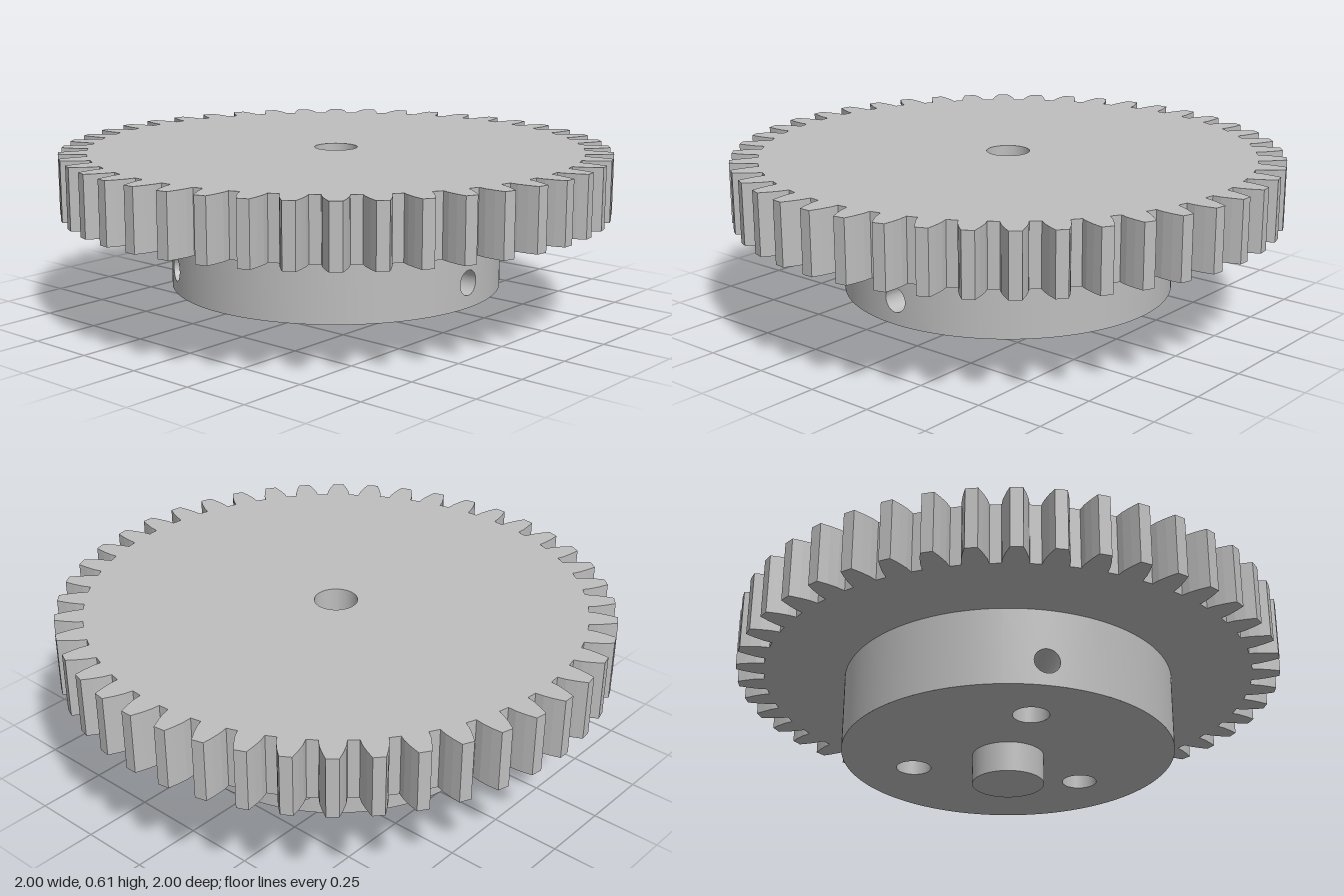
import * as THREE from 'three';

const TEETH = 44;
const GEAR_BOTTOM = 0.39, GEAR_TOP = 0.61, HUB_BOTTOM = 0.11;
const HUB_R = 0.605, BORE_R = 0.078, BOSS_R = 0.13;
const PIN_R = 0.064, PIN_OFFSET = 0.367; // vertical holes under the hub
const PORT_R = 0.045, PORT_Y = 0.2; // radial holes in the hub wall
const lerp = THREE.MathUtils.lerp;

// Smooth surface from a rule f(u, v) -> [x, y, z]; flip turns it inside out
function surface(nu, nv, f, flip = false) {
  const pos = [], idx = [], row = nv + 1;
  for (let i = 0; i <= nu; i++)
    for (let j = 0; j <= nv; j++) pos.push(...f(flip ? 1 - i / nu : i / nu, j / nv));
  for (let i = 0; i < nu; i++)
    for (let j = 0; j < nv; j++) {
      const a = i * row + j, b = a + row;
      idx.push(a, b, a + 1, b, b + 1, a + 1);
    }
  const g = new THREE.BufferGeometry();
  g.setAttribute('position', new THREE.Float32BufferAttribute(pos, 3));
  g.setIndex(idx);
  g.computeVertexNormals();
  return g;
}

// Toothed disc outline with the central bore
function gearShape() {
  const flank = [[-0.045, 0.9], [-0.042, 0.93], [-0.033, 0.965], [-0.021, 1]];
  const profile = [...flank, ...flank.map(([t, r]) => [-t, r]).reverse()];
  const pts = [];
  for (let i = 0; i < TEETH; i++)
    for (const [t, r] of profile) {
      const a = (i / TEETH) * Math.PI * 2 + t / r;
      pts.push(new THREE.Vector2(r * Math.cos(a), r * Math.sin(a)));
    }
  const shape = new THREE.Shape(pts);
  shape.holes.push(new THREE.Path().absarc(0, 0, BORE_R, 0, Math.PI * 2, true));
  return shape;
}

// Upright round wall around (cx, 0), pierced by the radial hole at angle 0
function piercedWall(R, cx, w, end, flip) {
  const at = (a, y) => [cx + R * Math.cos(a), y, R * Math.sin(a)];
  const patch = surface(48, 6, (u, v) => {
    const c = Math.cos(u * Math.PI * 2), s = Math.sin(u * Math.PI * 2);
    const m = Math.max(Math.abs(c), Math.abs(s));
    const reach = s > 0 ? GEAR_BOTTOM - PORT_Y : PORT_Y - HUB_BOTTOM;
    return at(
      lerp(Math.asin((PORT_R * c) / R), (c / m) * w, v),
      lerp(PORT_Y + PORT_R * s, PORT_Y + (s / m) * reach, v));
  }, flip);
  const rest = surface(48, 1, (u, v) => at(lerp(w, end, u), lerp(GEAR_BOTTOM, HUB_BOTTOM, v)), flip);
  return [patch, rest];
}

export function createModel() {
  const model = new THREE.Group();
  model.name = 'gearWheel';
  const metal = new THREE.MeshStandardMaterial({ color: 0xbebebe });
  metal.name = 'lightGrey';

  const add = (parent, name, geometry) => {
    const mesh = new THREE.Mesh(geometry, metal);
    mesh.name = name;
    parent.add(mesh);
    return mesh;
  };

  // Toothed disc
  const disc = new THREE.ExtrudeGeometry(gearShape(), {
    depth: GEAR_TOP - GEAR_BOTTOM, bevelEnabled: false, curveSegments: 32,
  });
  add(model, 'toothedDisc', disc.rotateX(-Math.PI / 2)).position.y = GEAR_BOTTOM;

  // Floor of the blind bore
  const floor = new THREE.CircleGeometry(BORE_R, 48).rotateX(-Math.PI / 2);
  add(model, 'boreFloor', floor).position.y = GEAR_BOTTOM + 0.001;

  // Underside of the hub with three vertical holes
  const under = new THREE.Shape().absarc(0, 0, HUB_R, 0, Math.PI * 2, false);
  for (let i = 0; i < 3; i++) {
    const a = (i * Math.PI * 2) / 3;
    under.holes.push(new THREE.Path().absarc(
      PIN_OFFSET * Math.cos(a), PIN_OFFSET * Math.sin(a), PIN_R, 0, Math.PI * 2, true));
  }
  const underside = new THREE.ShapeGeometry(under, 72).rotateX(Math.PI / 2);
  add(model, 'hubUnderside', underside).position.y = HUB_BOTTOM;

  // Three equal hub sectors: outer wall, radial hole and the vertical hole it meets
  const outer = piercedWall(HUB_R, 0, 0.25, (Math.PI * 2) / 3 - 0.25, false);
  const pin = piercedWall(PIN_R, PIN_OFFSET, 1.1, Math.PI * 2 - 1.1, true);
  const tunnel = surface(48, 1, (u, v) => {
    const t = PORT_R * Math.cos(u * Math.PI * 2);
    const x = lerp(Math.sqrt(HUB_R ** 2 - t * t), PIN_OFFSET + Math.sqrt(PIN_R ** 2 - t * t), v);
    return [x, PORT_Y + PORT_R * Math.sin(u * Math.PI * 2), t];
  }, true);
  for (let i = 0; i < 3; i++) {
    const sector = new THREE.Group();
    sector.name = 'hubSector';
    sector.rotation.y = (-i * Math.PI * 2) / 3;
    outer.forEach((g) => add(sector, 'hubWall', g));
    pin.forEach((g) => add(sector, 'verticalHole', g));
    add(sector, 'radialHole', tunnel);
    model.add(sector);
  }

  // Small boss under the hub
  add(model, 'boss', new THREE.CylinderGeometry(BOSS_R, BOSS_R, HUB_BOTTOM, 64)).position.y = HUB_BOTTOM / 2;

  return model;
}
